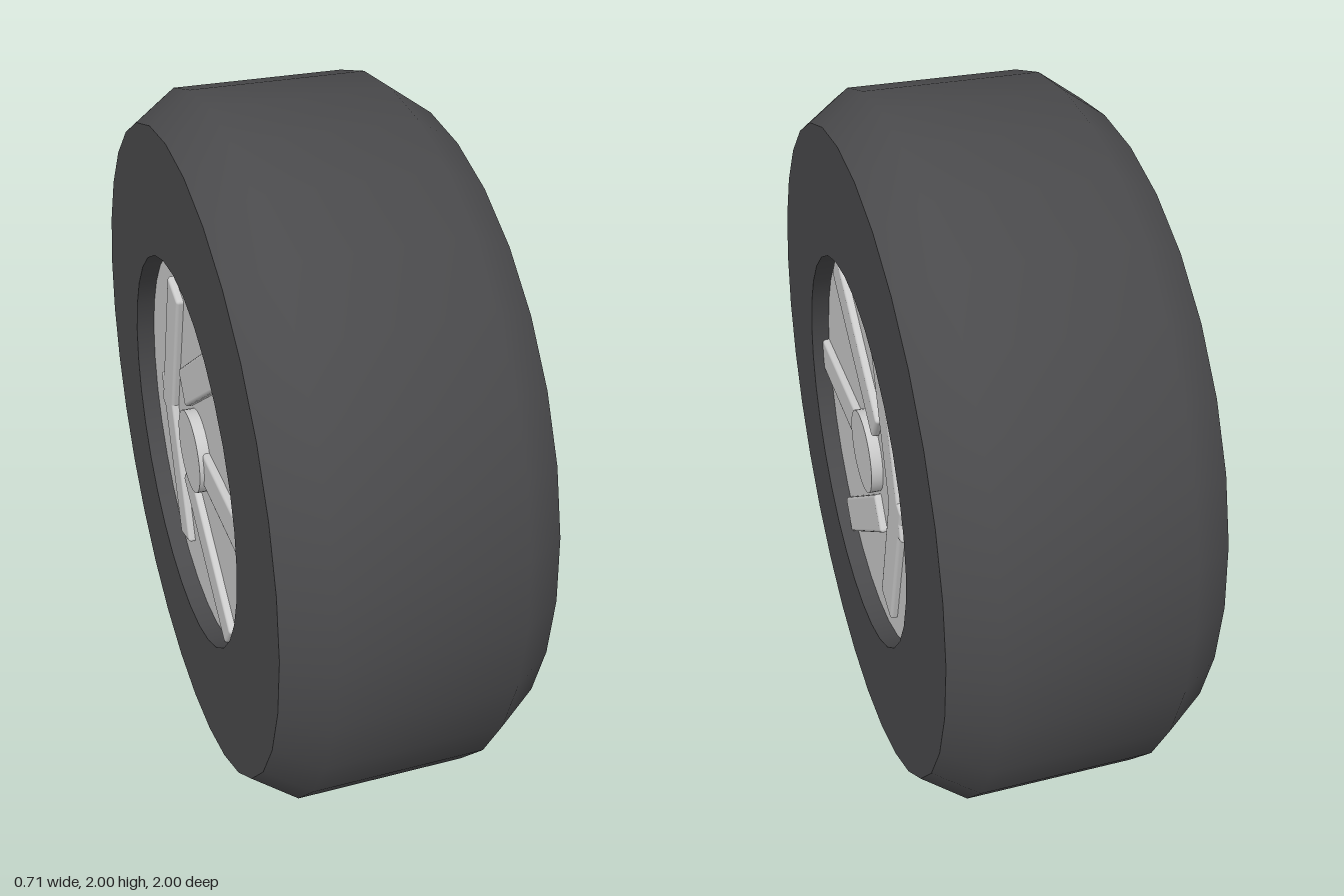
import * as THREE from 'three';
import { toCreasedNormals } from 'three/addons/utils/BufferGeometryUtils.js';
import { RoundedBoxGeometry } from 'three/addons/geometries/RoundedBoxGeometry.js';

const SIDES = 32;

export function createModel() {
  const wheel = new THREE.Group();
  wheel.name = 'wheel';
  wheel.position.y = 1;

  const rubber = new THREE.MeshStandardMaterial({ color: 0x4a4a4c });
  const metal = new THREE.MeshStandardMaterial({ color: 0xcccccc });

  const add = (name, geometry, material) => {
    const mesh = new THREE.Mesh(geometry, material);
    mesh.name = name;
    wheel.add(mesh);
    return mesh;
  };

  // Tyre: closed ring profile (radius, axle position) with chamfered shoulders
  const profile = [
    [0.56, -0.355], [0.92, -0.355], [1, -0.24], [1, 0.24],
    [0.92, 0.355], [0.56, 0.355], [0.56, -0.355],
  ].map(([r, a]) => new THREE.Vector2(r, a));
  const tyre = new THREE.LatheGeometry(profile, SIDES).rotateZ(Math.PI / 2);
  add('tyre', toCreasedNormals(tyre, THREE.MathUtils.degToRad(42)), rubber);

  // Rim disc and hub run through the wheel, so both sides match
  const disc = (radius, width) =>
    new THREE.CylinderGeometry(radius, radius, width, SIDES).rotateZ(Math.PI / 2);
  add('rimDisc', disc(0.56, 0.604), metal);
  add('hub', disc(0.12, 0.67), metal);

  // Five bars set around the axle, each turned by half of its position angle
  for (let i = 0; i < 5; i++) {
    const angle = (i * Math.PI * 2) / 5;
    const spoke = add('spoke', new RoundedBoxGeometry(0.645, 0.11, 0.52, 2, 0.01), metal);
    spoke.position.set(0, 0.31 * Math.sin(angle), 0.31 * Math.cos(angle));
    spoke.rotation.x = -angle / 2;
  }

  const model = new THREE.Group();
  model.add(wheel);
  return model;
}
